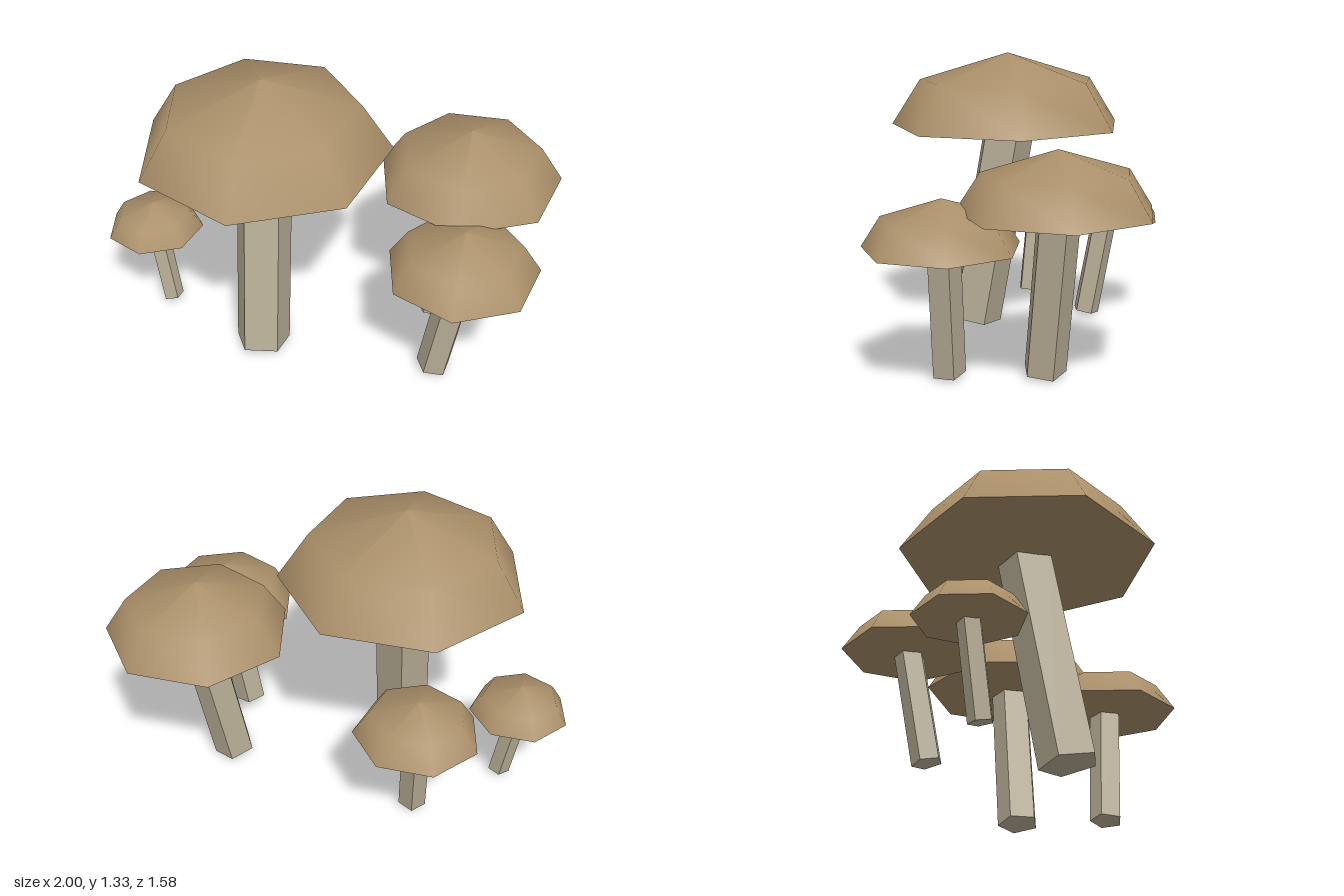
import * as THREE from 'three';

const capMaterial = new THREE.MeshStandardMaterial({ color: 0xaa8f69 });
capMaterial.name = 'capBrown';
const stemMaterial = new THREE.MeshStandardMaterial({ color: 0xb8ae96 });
stemMaterial.name = 'stemCream';

// Sizes of the largest mushroom; the others are scaled copies
const CAP_RADIUS = 0.563;
const STEM_RADIUS = 0.1285;

// size, centre of the cap rim, centre of the stem foot
const mushrooms = [
  { name: 'largeMushroom', size: 1, rim: [-0.222, 0.985, 0.281], foot: [-0.147, 0.025, 0.433] },
  { name: 'backMushroom', size: 0.75, rim: [0.432, 0.745, -0.368], foot: [0.356, 0.026, -0.259] },
  { name: 'leftMushroom', size: 0.6, rim: [0.671, 0.595, 0.041], foot: [0.58, 0.025, 0.086] },
  { name: 'rightMushroom', size: 0.5, rim: [-0.583, 0.505, -0.058], foot: [-0.53, 0.022, 0.014] },
  { name: 'smallMushroom', size: 0.4, rim: [-0.778, 0.417, 0.461], foot: [-0.71, 0.025, 0.463] },
];

// Seven-sided turned surface with one corner towards the back
function capPart(name, profile) {
  const points = profile.map(([r, y]) => new THREE.Vector2(r, y));
  const mesh = new THREE.Mesh(new THREE.LatheGeometry(points, 7, Math.PI), capMaterial);
  mesh.name = name;
  return mesh;
}

function makeCap(size) {
  const cap = new THREE.Group();
  cap.name = 'cap';
  // smooth dome and shallow underside, with a sharp rim between them
  cap.add(capPart('capDome', [[CAP_RADIUS, 0], [0.424, 0.215], [0, 0.345]]));
  cap.add(capPart('capUnderside', [[0, -0.032], [CAP_RADIUS, 0]]));
  cap.scale.setScalar(size);
  return cap;
}

// Five-sided flat-shaded prism leaning from foot to top
function makeStem(size, foot, top) {
  const axis = top.clone().sub(foot);
  const length = axis.length();
  const radius = STEM_RADIUS * size;
  const geometry = new THREE.CylinderGeometry(radius, radius, length, 5).toNonIndexed();
  geometry.computeVertexNormals();
  geometry.translate(0, length / 2, 0);
  const stem = new THREE.Mesh(geometry, stemMaterial);
  stem.name = 'stem';
  stem.position.copy(foot);
  stem.quaternion.setFromUnitVectors(new THREE.Vector3(0, 1, 0), axis.normalize());
  return stem;
}

export function createModel() {
  const model = new THREE.Group();
  model.name = 'mushroomCluster';
  for (const { name, size, rim, foot } of mushrooms) {
    const mushroom = new THREE.Group();
    mushroom.name = name;
    const rimCentre = new THREE.Vector3(...rim);
    const footCentre = new THREE.Vector3(...foot);
    const cap = makeCap(size);
    cap.position.copy(rimCentre);
    // the stem runs on a little way inside the cap
    const top = footCentre.clone().lerp(rimCentre, 1.08);
    mushroom.add(cap, makeStem(size, footCentre, top));
    model.add(mushroom);
  }
  return model;
}
